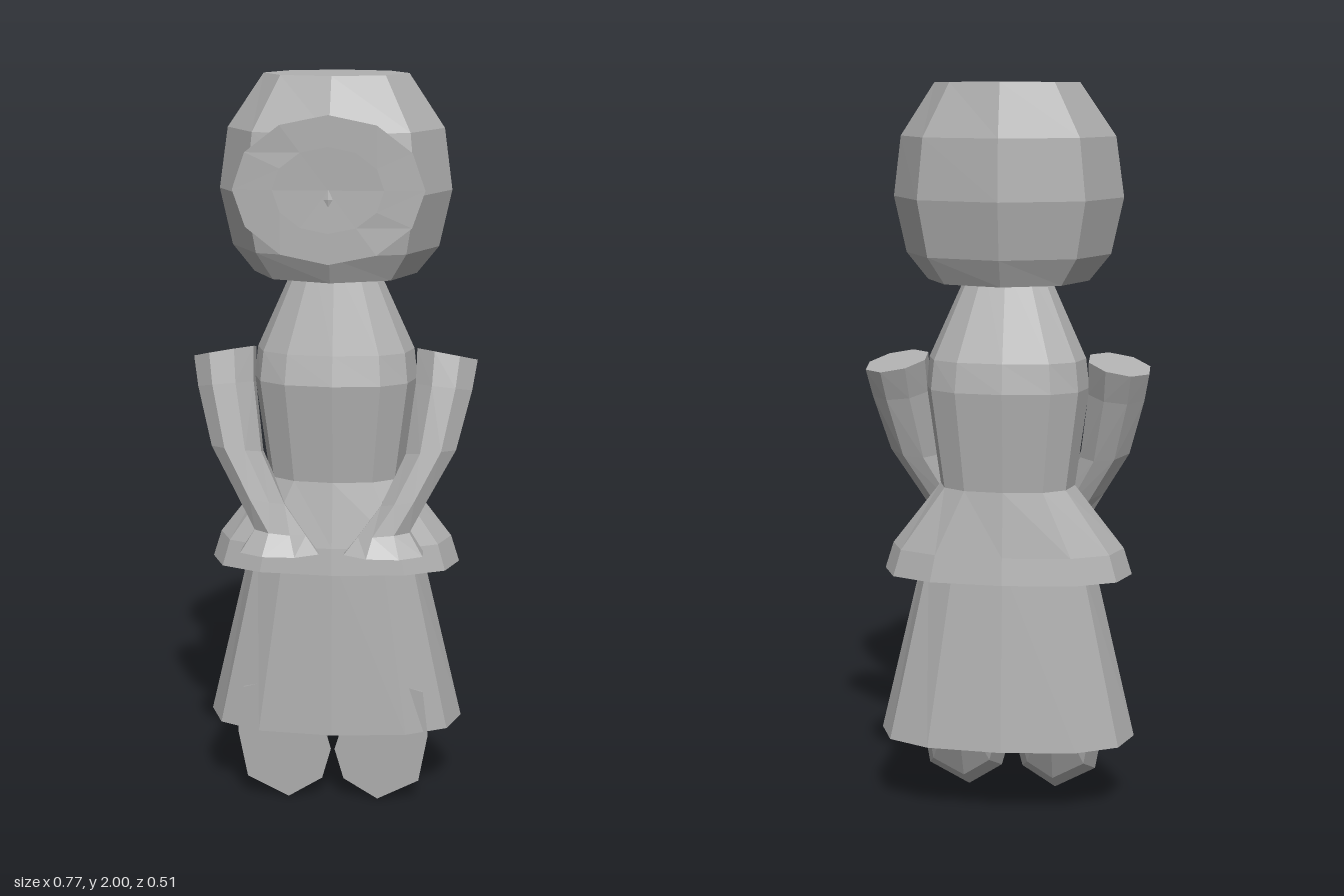
import * as THREE from 'three';

const grey = new THREE.MeshStandardMaterial({ color: 0xb0b0b0, flatShading: true });
grey.name = 'clay grey';
const greyOpen = grey.clone();
greyOpen.name = 'clay grey open surface';
greyOpen.side = THREE.DoubleSide;

// Solid skinned over rings of points, capped at both ends and turned outward.
function loft(name, rings) {
  const n = rings[0].length, tris = [];
  for (let r = 0; r + 1 < rings.length; r++) {
    for (let i = 0; i < n; i++) {
      const j = (i + 1) % n, a = rings[r], b = rings[r + 1];
      tris.push([a[i], b[i], a[j]], [a[j], b[i], b[j]]);
    }
  }
  const last = rings[rings.length - 1];
  for (let i = 1; i + 1 < n; i++) {
    tris.push([rings[0][0], rings[0][i], rings[0][i + 1]], [last[0], last[i + 1], last[i]]);
  }
  let volume = 0;
  for (const [a, b, c] of tris) volume += a.dot(b.clone().cross(c));
  if (volume < 0) tris.forEach((t) => t.reverse());
  return surface(name, tris, grey);
}

function surface(name, tris, material) {
  const geometry = new THREE.BufferGeometry().setFromPoints(tris.flat());
  geometry.computeVertexNormals();
  const mesh = new THREE.Mesh(geometry, material);
  mesh.name = name;
  return mesh;
}

// Horizontal ring; power below 1 gives fuller corners, tilts raise y along x and z.
function ring(n, [x, y, z, rx, rz, tiltX = 0, tiltZ = 0], power = 1, turn = 0) {
  const soft = (v) => Math.sign(v) * Math.abs(v) ** power;
  return Array.from({ length: n }, (_, i) => {
    const a = (i / n) * Math.PI * 2 + turn;
    const dx = rx * soft(Math.cos(a)), dz = rz * soft(Math.sin(a));
    return new THREE.Vector3(x + dx, y + dx * tiltX + dz * tiltZ, z + dz);
  });
}

function arm(side) {
  const sections = [
    [0.303, 1.255, -0.018, 0.088, 0.082, -0.18, 0.2],
    [0.295, 1.17, 0.01, 0.082, 0.076, -0.1, 0.2],
    [0.263, 1.0, 0.055, 0.073, 0.068, 0.1, 0.2],
    [0.195, 0.87, 0.09, 0.07, 0.06, 0.2, 0.15],
    [0.14, 0.785, 0.115, 0.075, 0.052, 0.1, 0.1],
    [0.14, 0.735, 0.135, 0.115, 0.065],
  ];
  const rings = sections.map((s) => ring(8, s, 1, Math.PI / 8));
  rings.flat().forEach((p) => { p.x *= side; });
  return loft(side > 0 ? 'leftArm' : 'rightArm', rings);
}

function foot(side) {
  const outline = [[0.125, 0], [0.24, 0.06], [0.265, 0.2], [0.25, 0.33],
    [0.18, 0.35], [0.05, 0.3], [0.005, 0.15], [0.03, 0.06]];
  // Each section: depth, scale, centre height
  const sections = [[0.1, 1, 0.18], [-0.01, 0.76, 0.205], [-0.08, 0.42, 0.275]];
  const rings = sections.map(([z, s, cy]) => outline.map(([x, y]) =>
    new THREE.Vector3(side * (0.13 + (x - 0.13) * s), cy + (y - 0.18) * s, z + 0.05 * y * s)));
  return loft(side > 0 ? 'leftFoot' : 'rightFoot', rings);
}

// Thin, slightly dished oval in front of the head
function facePlate() {
  const n = 12, cy = 1.723;
  const rim = (s, dip) => Array.from({ length: n }, (_, i) => {
    const a = (i / n) * Math.PI * 2, x = 0.245 * s * Math.cos(a);
    const bend = 0.012 * Math.max(0, (Math.abs(x) - 0.13) / 0.115);
    return new THREE.Vector3(x, cy + 0.188 * s * Math.sin(a), 0.255 - bend - dip);
  });
  const outer = rim(1, 0), inner = rim(0.58, 0.001);
  const centre = new THREE.Vector3(0, cy, 0.25), tris = [];
  for (let i = 0; i < n; i++) {
    const j = (i + 1) % n;
    tris.push([outer[i], outer[j], inner[i]], [outer[j], inner[j], inner[i]], [inner[i], inner[j], centre]);
  }
  return surface('facePlate', tris, greyOpen);
}

export function createModel() {
  const model = new THREE.Group();
  model.name = 'figure';

  // Faceted head
  model.add(loft('head', [
    [0, 2.0, -0.032, 0.192, 0.172], [0, 1.86, -0.012, 0.287, 0.236],
    [0, 1.7, -0.002, 0.309, 0.257], [0, 1.55, -0.002, 0.276, 0.23],
    [0, 1.478, -0.002, 0.218, 0.195],
  ].map((s) => ring(8, s))));
  model.add(facePlate());

  // Torso running into a flared jacket hem
  model.add(loft('jacket', [
    [0, 1.52, -0.01, 0.1, 0.06], [0, 1.27, -0.02, 0.213, 0.132],
    [0, 1.19, -0.017, 0.222, 0.147], [0, 0.92, -0.018, 0.185, 0.122],
    [0, 0.745, -0.012, 0.32, 0.152], [0, 0.672, -0.013, 0.343, 0.163],
  ].map((s) => ring(12, s, 0.8))));

  // Long skirt
  model.add(loft('skirt', [
    [0, 0.72, -0.012, 0.235, 0.142], [0, 0.21, -0.025, 0.355, 0.18],
  ].map((s) => ring(12, s, 0.8))));

  for (const side of [1, -1]) model.add(arm(side), foot(side));
  return model;
}
